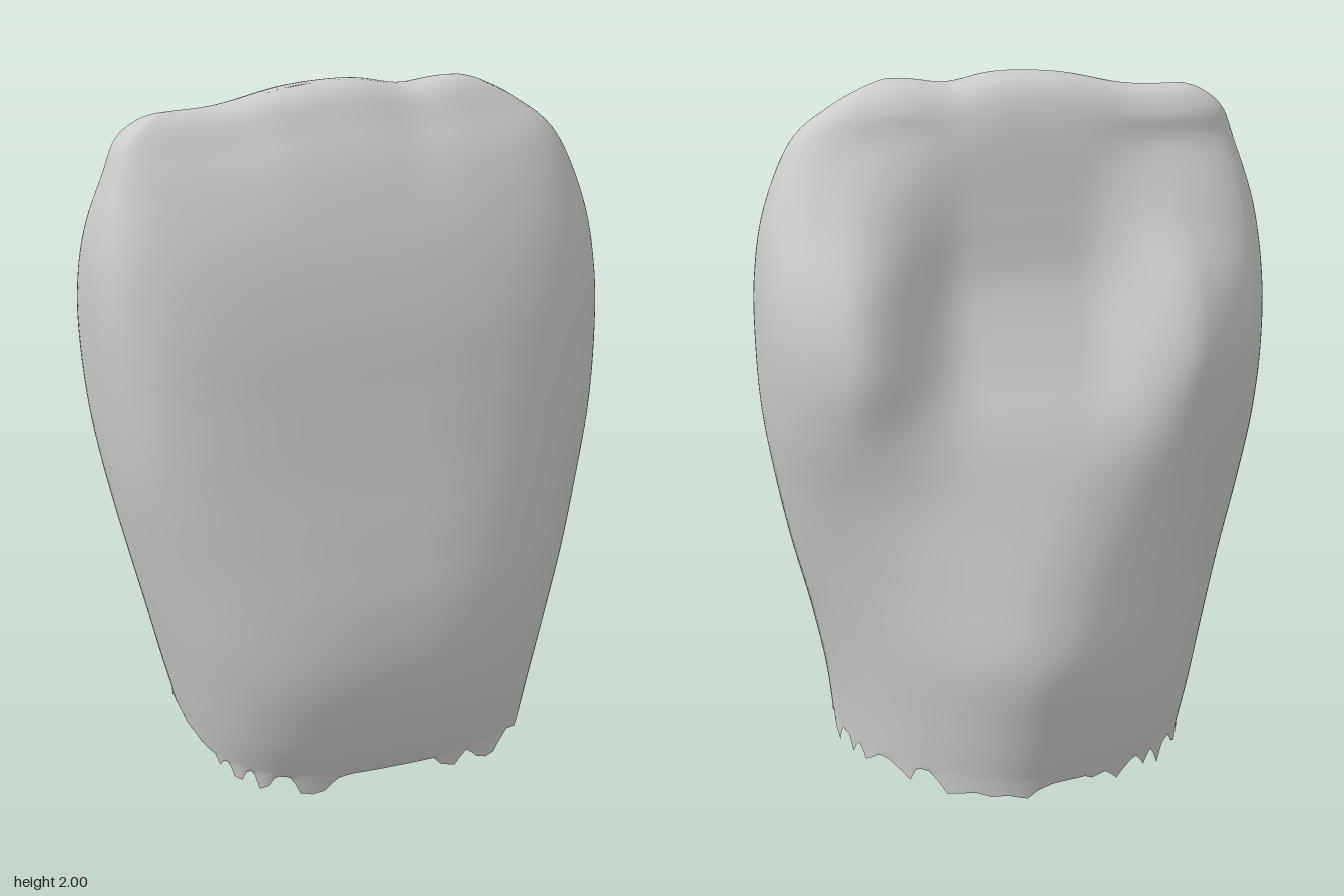
import * as THREE from 'three';

// Cross-sections: y, xMin, xMax, zFront, zBack at middle, zBack at side ridges, front squareness, back squareness
const SECTIONS = [
  [0.05, -0.50, 0.53, 0.57, -0.62, -0.37, 2.5, 2.6],
  [0.20, -0.54, 0.55, 0.63, -0.65, -0.38, 2.4, 2.5],
  [0.40, -0.59, 0.595, 0.667, -0.67, -0.37, 2.3, 2.4],
  [0.60, -0.64, 0.65, 0.652, -0.61, -0.36, 2.3, 2.4],
  [0.80, -0.685, 0.695, 0.605, -0.52, -0.38, 2.4, 2.6],
  [1.00, -0.72, 0.73, 0.55, -0.42, -0.41, 2.6, 2.9],
  [1.20, -0.74, 0.745, 0.50, -0.28, -0.415, 2.8, 3.1],
  [1.40, -0.75, 0.745, 0.45, -0.17, -0.34, 2.9, 3.2],
  [1.60, -0.74, 0.715, 0.38, -0.12, -0.19, 3.0, 3.2],
  [1.80, -0.69, 0.635, 0.285, -0.08, -0.06, 3.1, 3.1],
  [1.91, -0.655, 0.52, 0.21, -0.045, -0.03, 3.3, 3.0],
  [1.97, -0.60, 0.43, 0.165, 0.00, 0.01, 3.3, 3.0],
  [1.995, -0.55, 0.37, 0.13, 0.06, 0.06, 3.2, 3.0],
  [2.00, -0.52, 0.34, 0.10, 0.10, 0.10, 3.0, 3.0],
];
const MID_Z = 0.1;
const AROUND = 160, UP = 91;
const { smoothstep, lerp } = THREE.MathUtils;

// Smooth Catmull-Rom blend between the sections
function sectionAt(v) {
  const last = SECTIONS.length - 1;
  const i = Math.min(Math.floor(v * last), last - 1), t = v * last - i;
  const row = k => SECTIONS[Math.max(0, Math.min(last, k))];
  const [a, b, c, d] = [row(i - 1), row(i), row(i + 1), row(i + 2)];
  return b.map((p, k) => p + 0.5 * t * (c[k] - a[k]
    + t * (2 * a[k] - 5 * p + 4 * c[k] - d[k]
    + t * (3 * (p - c[k]) + d[k] - a[k]))));
}

const hash = n => { const s = Math.sin(n * 127.1 + 4.7) * 43758.5453; return s - Math.floor(s); };

// Gentle waves of the biting edge
function edgeWave(x) {
  const dip = (c, w) => Math.exp(-(((x - c) / w) ** 2));
  return -0.035 * dip(-0.36, 0.16) - 0.035 * dip(-0.58, 0.18) - 0.028 * dip(0.18, 0.1) - 0.02 * dip(0.4, 0.17);
}

function surfacePoint(j, i) {
  const [y0, xMin, xMax, zFront, zMid, zRidge, nFront, nBack] = sectionAt(j / UP);
  const angle = i / AROUND * Math.PI * 2;
  const c = Math.cos(angle), sn = Math.sin(angle);
  const front = sn >= 0;
  const upper = smoothstep(y0, 0.6, 1.2);
  // The front corner on the -x side is squarer
  const n = front ? nFront + (c < 0 ? lerp(0.5, 1.0, upper) : 0.1) : nBack;
  const s = Math.sign(c) * Math.abs(c) ** (2 / n);
  const h = Math.abs(sn) ** (2 / n);
  const x = (xMin + xMax) / 2 + s * (xMax - xMin) / 2;
  let z;
  if (front) {
    z = MID_Z + h * (zFront - MID_Z);
  } else {
    // Hollow between two side ridges above, a single round bulge below, set slightly to +x
    const ridge = (MID_Z - zRidge) / (1 - 0.72 ** n) ** (1 / n) * (s < 0 ? lerp(0.95, 0.9, upper) : 1);
    const off = Math.abs(s - lerp(0.08, 0, upper));
    const k = smoothstep(off, lerp(0, 0.22, upper), lerp(1, s < 0 ? 0.66 : 0.74, upper));
    z = MID_Z - h * lerp(MID_Z - zMid, ridge, k);
  }
  let y = y0 + edgeWave(x) * smoothstep(y0, 1.6, 2);
  // Ragged lower rim
  if (j === 0) {
    const tooth = Math.floor(i / 2);
    y = 0.07 - 0.07 * lerp(hash(tooth), hash((tooth + 1) % (AROUND / 2)), i % 2 / 2) ** 2;
  }
  return [x, y, z];
}

export function createModel() {
  const positions = [], indices = [];
  for (let j = 0; j <= UP; j++)
    for (let i = 0; i < AROUND; i++) positions.push(...surfacePoint(j, i));
  for (let j = 0; j < UP; j++)
    for (let i = 0; i < AROUND; i++) {
      const a = j * AROUND + i, b = j * AROUND + (i + 1) % AROUND;
      indices.push(a, a + AROUND, b, b, a + AROUND, b + AROUND);
    }
  const geometry = new THREE.BufferGeometry();
  geometry.setAttribute('position', new THREE.Float32BufferAttribute(positions, 3));
  geometry.setIndex(indices);
  geometry.computeVertexNormals();

  // Open shell of the tooth crown
  const crown = new THREE.Mesh(geometry, new THREE.MeshStandardMaterial({ color: 0xcccccc, side: THREE.DoubleSide }));
  crown.name = 'toothCrown';
  const group = new THREE.Group();
  group.name = 'incisorTooth';
  group.add(crown);
  return group;
}
